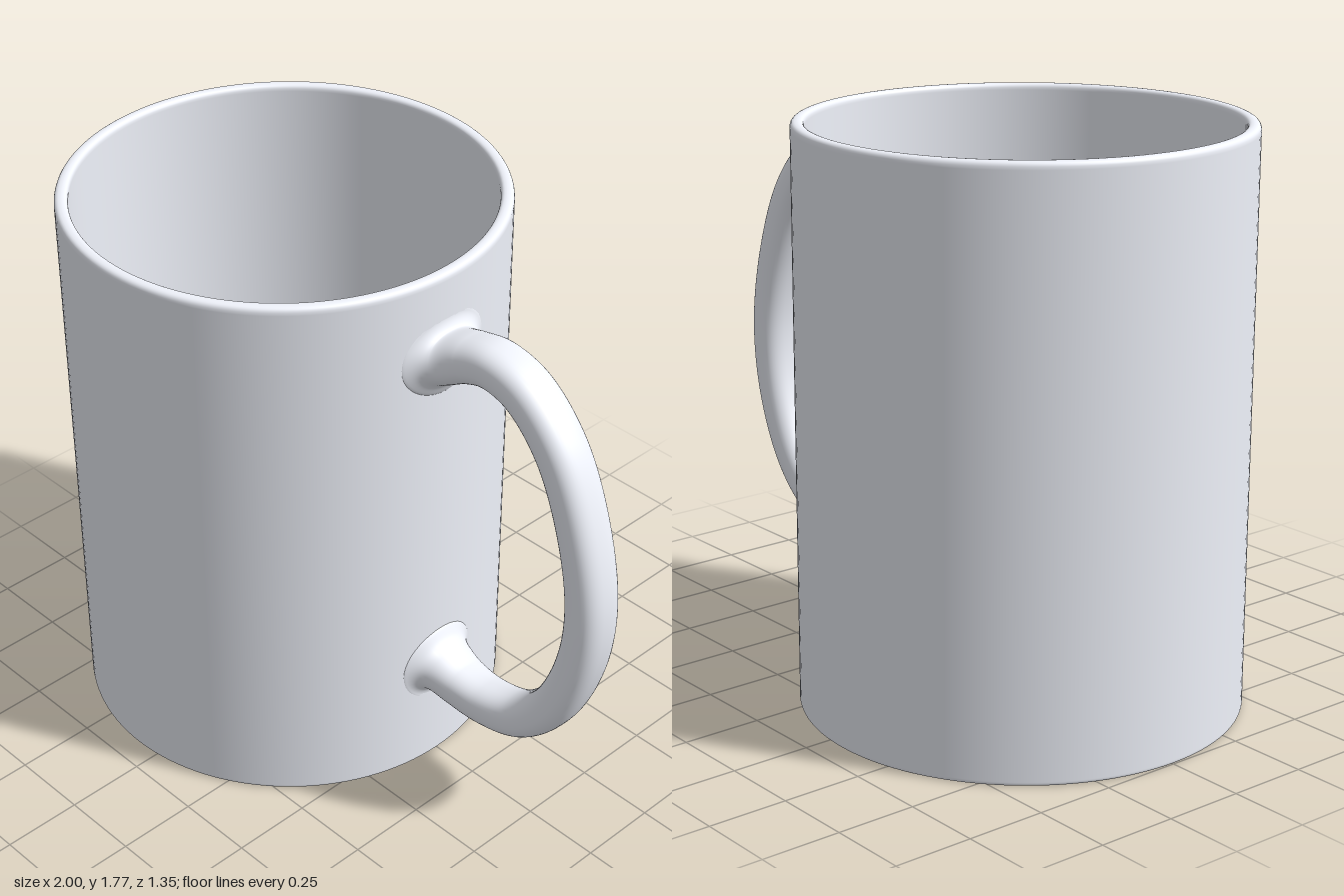
import * as THREE from 'three';

const CENTER_X = -0.328, RADIUS = 0.673, INNER = 0.632, HEIGHT = 1.77, FLOOR = 0.05;
const WALL_X = CENTER_X + RADIUS;

// Rounds each inner corner [x, y, radius] of a profile, with support points beside the fillet
function roundedProfile(corners, steps = 6) {
  const pts = corners.map(([x, y]) => new THREE.Vector2(x, y));
  const out = [pts[0]];
  for (let i = 1; i < pts.length - 1; i++) {
    const p = pts[i], r = corners[i][2];
    const a = pts[i - 1].clone().sub(p).normalize();
    const b = pts[i + 1].clone().sub(p).normalize();
    const at = (dir, d) => p.clone().addScaledVector(dir, d);
    const fillet = new THREE.QuadraticBezierCurve(at(a, r), p, at(b, r));
    out.push(at(a, r + 0.003), ...fillet.getPoints(steps), at(b, r + 0.003));
  }
  out.push(pts[pts.length - 1]);
  return out;
}

// Sweeps a rounded-square section along the handle path; the ends turn round,
// flare out and bend to the cup's curve so that they melt into the wall
function handleGeometry() {
  const path = new THREE.CatmullRomCurve3([
    [WALL_X - 0.003, 1.507], [0.38, 1.513], [0.45, 1.54], [0.54, 1.558], [0.66, 1.525],
    [0.79, 1.395], [0.888, 1.17], [0.934, 0.92], [0.91, 0.7], [0.82, 0.49],
    [0.7, 0.373], [0.56, 0.335], [0.45, 0.342], [0.38, 0.36], [WALL_X - 0.003, 0.366],
  ].map(([x, y]) => new THREE.Vector3(x, y, 0)), false, 'centripetal');
  const rings = 280, sides = 40, positions = [], index = [];
  for (let i = 0; i <= rings; i++) {
    const p = path.getPoint(i / rings), t = path.getTangent(i / rings);
    const d = Math.max(0, p.x - WALL_X);
    const near = Math.exp(-d / 0.06), lip = Math.exp(-d / 0.011);
    const spread = p.y > 0.92 ? 0.055 : 0.035;
    const halfThick = 0.065 + 0.022 * near + 0.045 * lip;
    const halfWide = 0.077 + spread * near + 0.03 * lip;
    const power = 0.8 + 0.2 * near;
    const soft = (v) => Math.sign(v) * Math.abs(v) ** power;
    for (let j = 0; j < sides; j++) {
      const a = (j / sides) * Math.PI * 2;
      const u = soft(Math.cos(a)) * halfThick, w = soft(Math.sin(a)) * halfWide;
      const bend = (Math.sqrt(RADIUS ** 2 - w ** 2) - RADIUS) * near;
      positions.push(p.x - t.y * u * (1 - lip) + bend, p.y + t.x * u, w);
      if (i < rings) {
        const k = (j + 1) % sides, r0 = i * sides, r1 = r0 + sides;
        index.push(r0 + j, r0 + k, r1 + j, r0 + k, r1 + k, r1 + j);
      }
    }
  }
  const g = new THREE.BufferGeometry();
  g.setAttribute('position', new THREE.Float32BufferAttribute(positions, 3));
  g.setIndex(index);
  g.computeVertexNormals();
  return g;
}

export function createModel() {
  const group = new THREE.Group();
  group.name = 'mug';
  const material = new THREE.MeshStandardMaterial({ color: 0xf0f3fb, side: THREE.DoubleSide });

  // Hollow cup: underside, outer wall, rim, inner wall and floor in one profile
  const profile = roundedProfile([
    [0, 0], [RADIUS, 0, 0.01], [RADIUS, HEIGHT, 0.02],
    [INNER, HEIGHT, 0.017], [INNER, FLOOR, 0.006], [0, FLOOR],
  ]);
  const cup = new THREE.Mesh(new THREE.LatheGeometry(profile, 128), material);
  cup.name = 'cup';
  cup.position.x = CENTER_X;

  // Handle on the model's left side
  const handle = new THREE.Mesh(handleGeometry(), material);
  handle.name = 'handle';

  group.add(cup, handle);
  return group;
}
